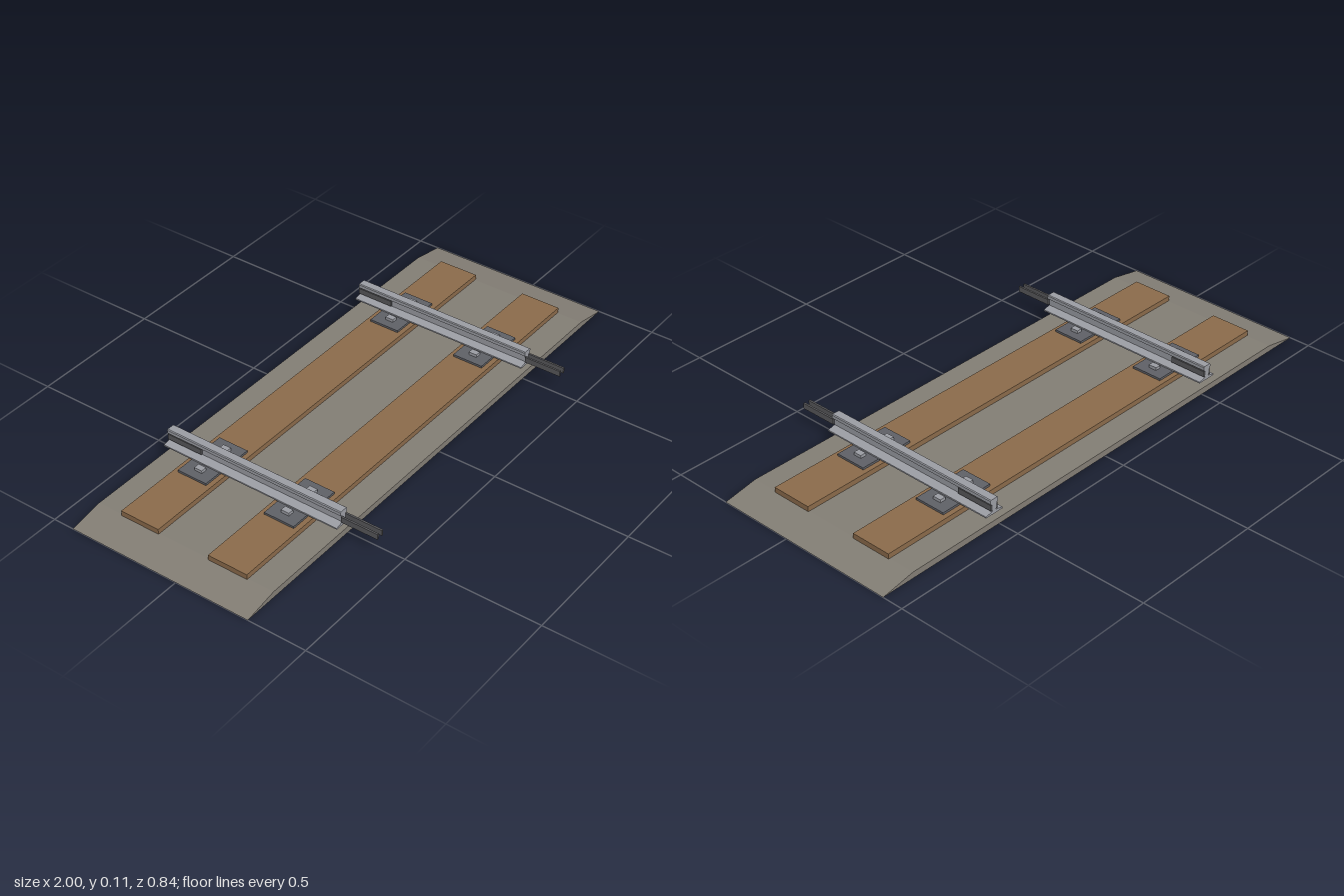
import * as THREE from 'three';

const mat = (name, color) => {
  const m = new THREE.MeshStandardMaterial({ color });
  m.name = name;
  return m;
};

export function createModel() {
  const root = new THREE.Group();
  root.name = 'trackSection';
  const ballastMat = mat('ballast grey', 0x827d74);
  const woodMat = mat('sleeper wood', 0x8a6a4a);
  const railMat = mat('rail steel', 0x9a9ca3);
  const plateMat = mat('plate steel', 0x5e6066);
  const jointMat = mat('joint bar steel', 0x58585b);

  const Z_BACK = -0.422, Z_FRONT = 0.282;

  const box = (parent, name, material, x, y0, z, w, h, d) => {
    const m = new THREE.Mesh(new THREE.BoxGeometry(w, h, d), material);
    m.position.set(x, y0 + h / 2, z);
    m.name = name;
    parent.add(m);
    return m;
  };

  // Prism along z from a closed outline in x and y
  const prism = (parent, name, material, pts) => {
    const shape = new THREE.Shape(pts.map(([x, y]) => new THREE.Vector2(x, y)));
    const geo = new THREE.ExtrudeGeometry(shape, { depth: Z_FRONT - Z_BACK, bevelEnabled: false });
    geo.translate(0, 0, Z_BACK);
    const m = new THREE.Mesh(geo, material);
    m.name = name;
    parent.add(m);
    return m;
  };

  // Ballast bed with sloping shoulders
  prism(root, 'ballastBed', ballastMat, [[-1, 0], [1, 0], [0.875, 0.023], [-0.875, 0.023]]);

  // Half of the rail section: foot, web, head
  const half = [[0.037, 0.05], [0.037, 0.055], [0.008, 0.062], [0.008, 0.086],
    [0.017, 0.091], [0.017, 0.103], [0.014, 0.106]];
  const section = [...half, ...half.map(([x, y]) => [-x, y]).reverse()];

  const sleeperZ = [0.107, -0.247];
  sleeperZ.forEach((z) => box(root, 'sleeper', woodMat, 0, 0.023, z, 1.76, 0.019, 0.153));

  for (const side of [-1, 1]) {
    const track = new THREE.Group();
    track.name = side > 0 ? 'leftRailAssembly' : 'rightRailAssembly';
    track.position.x = side * 0.522;
    root.add(track);
    prism(track, 'rail', railMat, section);

    // Base plates with a clip on either side of the rail
    for (const z of sleeperZ) {
      box(track, 'basePlate', plateMat, 0, 0.042, z, 0.21, 0.008, 0.117);
      for (const s of [-1, 1]) box(track, 'railClip', railMat, s * 0.0625, 0.05, z, 0.022, 0.011, 0.031);
    }

    // Joint bars: projecting at the front, against the web at the back
    for (const s of [-1, 1]) {
      for (const z of [0.352, -0.352]) {
        box(track, 'jointBar', jointMat, s * 0.0115, 0.065, z, 0.007, 0.021, 0.14);
      }
    }
  }
  return root;
}
